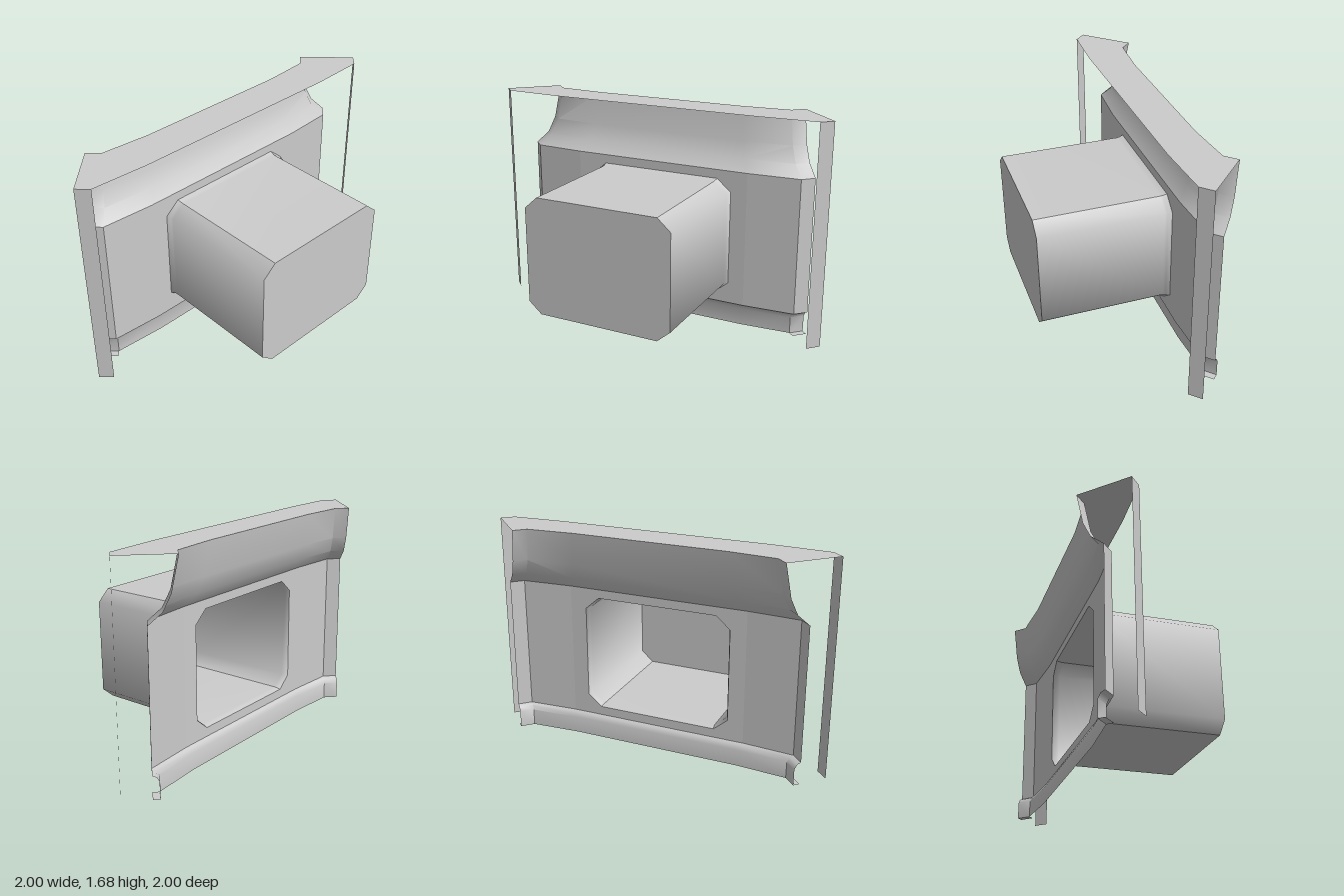
import * as THREE from 'three';
import { toCreasedNormals } from 'three/addons/utils/BufferGeometryUtils.js';

const TOP = 1.68;
const material = new THREE.MeshStandardMaterial({ color: 0xcccccc, side: THREE.DoubleSide });

// Diagonal local frame: X along the wall, Y up, Z outward (z = world x + z)
const diagonal = new THREE.Matrix4().makeBasis(
  new THREE.Vector3(1, 0, -1), new THREE.Vector3(0, 1, 0), new THREE.Vector3(0.5, 0, 0.5));

// Surface through rows of points, rows running left to right and stacked upward
function loft(rows) {
  const n = rows[0].length, index = [];
  for (let r = 0; r < rows.length - 1; r++) {
    for (let i = 0; i < n - 1; i++) {
      const a = r * n + i, c = a + n;
      index.push(a, a + 1, c + 1, a, c + 1, c);
    }
  }
  const geometry = new THREE.BufferGeometry();
  geometry.setAttribute('position', new THREE.Float32BufferAttribute(rows.flat(2), 3));
  geometry.setIndex(index);
  return toCreasedNormals(geometry, 0.7);
}

// Wall line at depth d (0 = back edge, 1 = front edge) and height y
function wallLine(d, y) {
  const end = 0.467 + 0.423 * d, bend = 0.42 + 0.165 * d, h = wallOut(d) / 2;
  return [
    [-1, y, end], [-0.888, y, end], [h - bend, y, h + bend],
    [h + bend, y, h - bend], [end, y, -0.888], [end, y, -1],
  ];
}
function wallOut(d) { return -0.38 + 0.415 * d; }

// Rectangle with cut corners, grown by g
function cutCorners(g = 0) {
  const w = 0.4 + g, v = 0.33 + g * 0.4, y0 = 0.26 - g, y1 = 1.142 + g;
  const a = 0.345 - g * 0.4, b = 1.055 + g * 0.4;
  return [[-v, y0], [v, y0], [w, a], [w, b], [v, y1], [-v, y1], [-w, b], [-w, a]]
    .map(([x, y]) => new THREE.Vector2(x, y));
}

export function createModel() {
  const group = new THREE.Group();
  const add = (name, geometry) => {
    const mesh = new THREE.Mesh(geometry, material);
    mesh.name = name;
    group.add(mesh);
  };
  const sweep = (profile, from = 0, to = 6) =>
    loft(profile.map(([d, y]) => wallLine(d, y).slice(from, to)));

  // Flat top and the curved cove under it
  add('topCap', sweep([[1, TOP], [0, TOP]]));
  add('cove', sweep([[0.49, 1.222], [0.255, 1.31], [0.12, 1.43], [0, TOP]]));

  // Recessed base board with a small rounded step
  add('baseBoard', sweep([[0.365, 0], [0.37, 0.13], [0.42, 0.165], [0.49, 0.178]]));

  // Front posts, wall ends and feet at both ends
  for (const [side, from, to] of [['left', 3, 6], ['right', 0, 3]]) {
    const tip = side === 'left' ? 4 : 0;
    add(side + 'Post', sweep([[1, 0], [1, TOP]], tip, tip + 2));
    add(side + 'WallEnd', sweep([[0.49, 0.178], [0.49, 1.222]], from, to));
    add(side + 'Foot', sweep([[0.49, 0], [0.365, 0]], tip, tip + 2));
  }

  // Wall panel with the opening into the box
  const out = wallOut(0.49), half = 0.42 + 0.165 * 0.49, flare = 0.012;
  const panel = new THREE.Shape([[-half, 0.178], [half, 0.178], [half, 1.222], [-half, 1.222]]
    .map(([x, y]) => new THREE.Vector2(x, y)));
  panel.holes.push(new THREE.Path(cutCorners(flare).reverse()));
  add('wallPanel', new THREE.ShapeGeometry(panel).translate(0, 0, out).applyMatrix4(diagonal));

  // Projecting box: flared lip, straight sides and a flat front
  const front = 1.195;
  const rings = [[flare, out], [0.003, out + 0.04], [0, out + 0.07], [0, front]].map(([g, z]) => {
    const ring = cutCorners(g).map((p) => [p.x, p.y, z]);
    return [...ring, ring[0]];
  });
  add('boxSides', loft(rings).applyMatrix4(diagonal));
  add('boxFront', new THREE.ShapeGeometry(new THREE.Shape(cutCorners()))
    .translate(0, 0, front).applyMatrix4(diagonal));

  return group;
}
